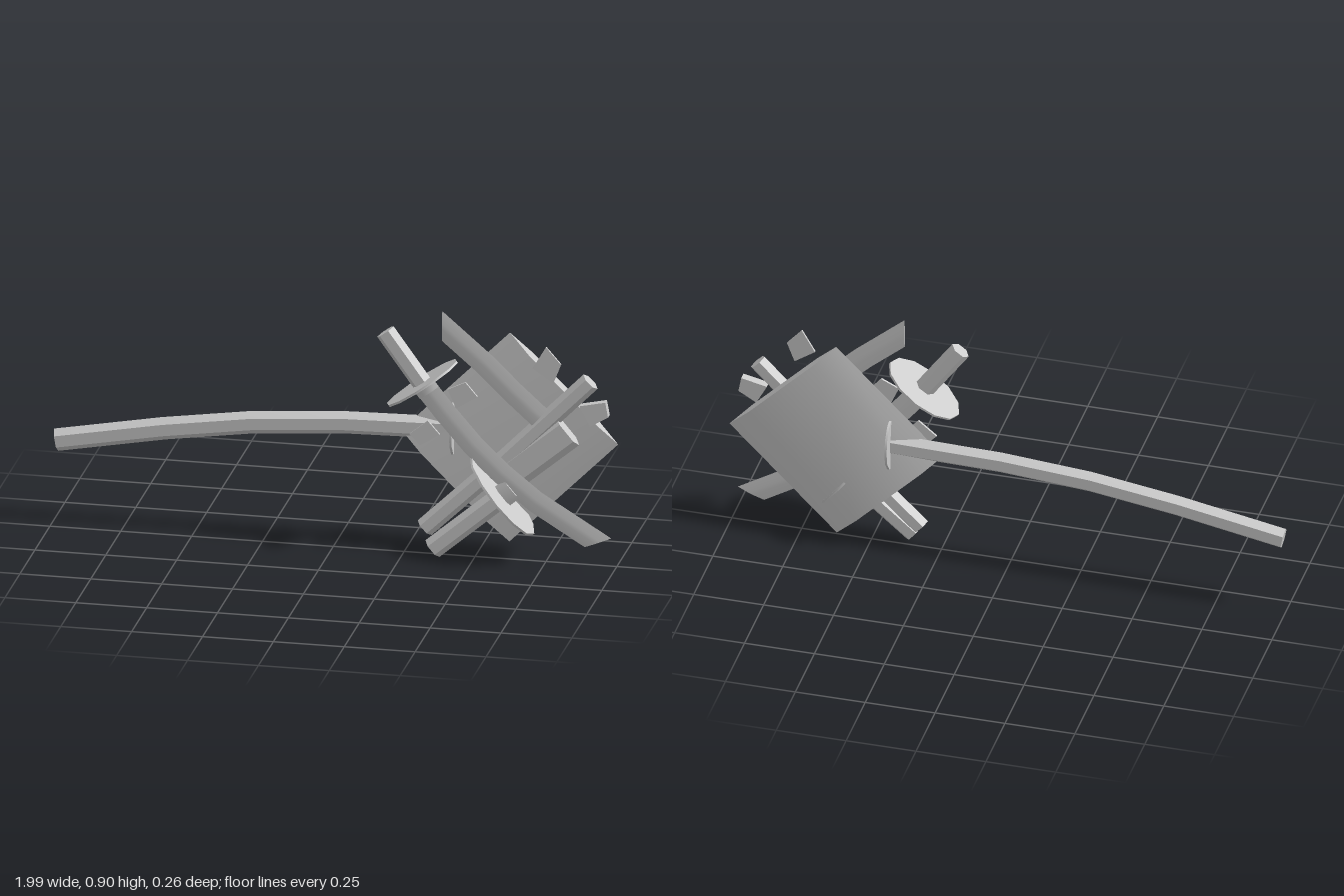
import * as THREE from 'three';
import { toCreasedNormals } from 'three/addons/utils/BufferGeometryUtils.js';

const group = new THREE.Group();

function add(name, geometry) {
  const mat = new THREE.MeshStandardMaterial({ color: 0xcccccc, side: THREE.DoubleSide });
  const mesh = new THREE.Mesh(toCreasedNormals(geometry, 0.7), mat);
  mesh.name = name;
  group.add(mesh);
}

// Six-sided bar swept along a path in the x/y plane; flat = share of the width that is full depth.
// Widths may vary per path point; skew slides the two end edges for slanted tips.
function bar(name, path, z, halfWidth, halfDepth, flat = 0.5, skew = 0) {
  const pts = path.map(([x, y]) => new THREE.Vector2(x, y));
  const last = pts.length - 1;
  const section = [[1, 0], [flat, 1], [-flat, 1], [-1, 0], [-flat, -1], [flat, -1]];
  const pos = [], index = [];
  pts.forEach((p, i) => {
    const t = pts[Math.min(i + 1, last)].clone().sub(pts[Math.max(i - 1, 0)]).normalize();
    const shift = i === last ? skew : 0;
    for (const [u, v] of section) {
      const w = u * halfWidth;
      pos.push(p.x - t.y * w + t.x * shift * u, p.y + t.x * w + t.y * shift * u, z + v * halfDepth);
    }
  });
  for (let i = 0; i < last; i++) {
    for (let j = 0; j < 6; j++) {
      const a = i * 6 + j, b = i * 6 + (j + 1) % 6;
      index.push(a, b, b + 6, a, b + 6, a + 6);
    }
  }
  for (let j = 1; j < 5; j++) {
    index.push(0, j + 1, j, last * 6, last * 6 + j, last * 6 + j + 1);
  }
  const g = new THREE.BufferGeometry();
  g.setAttribute('position', new THREE.Float32BufferAttribute(pos, 3));
  g.setIndex(index);
  add(name, g);
}

// Oval hand guard: axis at the given angle in the x/y plane
function guard(name, x, y, z, angle, halfLength, halfDepth) {
  const g = new THREE.CylinderGeometry(1, 1, 1, 12);
  g.scale(halfLength, 0.008, halfDepth);
  g.rotateZ(angle - Math.PI / 2);
  g.translate(x, y, z);
  add(name, g);
}

// Thin plate with an outline given in x/y
function chip(name, outline, z, depth) {
  const shape = new THREE.Shape(outline.map(([x, y]) => new THREE.Vector2(x, y)));
  const g = new THREE.ExtrudeGeometry(shape, { depth, bevelEnabled: false });
  g.translate(0, 0, z - depth / 2);
  add(name, g);
}

export function createModel() {
  group.clear();

  // Long curved handle, its guard and the broad square head
  bar('handle', [[-0.99, 0.3], [-0.61, 0.37], [-0.3, 0.415], [0.02, 0.439], [0.42, 0.447]], -0.06, 0.041, 0.025);
  guard('handleGuard', 0.415, 0.45, -0.057, 0, 0.1, 0.074);
  bar('head', [[0.418, 0.237], [0.802, 0.621]], -0.057, 0.27, 0.0225, 0.61);

  // Diagonal bar and the wide sleeve around it
  bar('diagonalBar', [[0.32, 0.092], [0.61, 0.37], [0.905, 0.67]], -0.01, 0.035, 0.0225);
  bar('sleeve', [[0.6, 0.295], [0.825, 0.483]], -0.01, 0.063, 0.0235, 0.6);

  // First sword: grip, guard, collar, curved blade
  bar('upperGrip', [[0.19, 0.815], [0.32, 0.635]], 0.03, 0.036, 0.0225);
  guard('upperGuard', 0.32, 0.635, 0.027, -0.96, 0.15, 0.106);
  bar('upperCollar', [[0.32, 0.635], [0.345, 0.602]], 0.03, 0.042, 0.008);
  bar('longBlade', [[0.32, 0.635], [0.4, 0.535], [0.5, 0.42], [0.6, 0.325], [0.72, 0.23], [0.94, 0.096]],
    0.03, 0.041, 0.004, 0.2, 0.03);

  // Second sword: grip, guard and collar
  bar('lowerGrip', [[0.356, 0.032], [0.6, 0.24]], 0.03, 0.038, 0.0225);
  guard('lowerGuard', 0.6, 0.24, 0.02, 0.69, 0.173, 0.106);
  bar('lowerCollar', [[0.6, 0.24], [0.635, 0.27]], 0.03, 0.042, 0.008);

  // Broken blade tip
  bar('brokenBlade', [[0.735, 0.54], [0.64, 0.625], [0.54, 0.722], [0.39, 0.85]], 0.03, 0.042, 0.004, 0.2, -0.035);

  // Loose shards
  const shards = [
    [[0.757, 0.8], [0.71, 0.72], [0.783, 0.67], [0.81, 0.74]],
    [[0.41, 0.62], [0.44, 0.552], [0.515, 0.6], [0.473, 0.65]],
    [[0.275, 0.447], [0.313, 0.409], [0.382, 0.452], [0.34, 0.5]],
  ];
  for (const outline of shards) chip('shard', outline, 0.03, 0.008);
  chip('edgeShard', [[0.868, 0.582], [0.906, 0.51], [0.97, 0.548], [0.96, 0.602]], -0.01, 0.03);

  return group;
}
